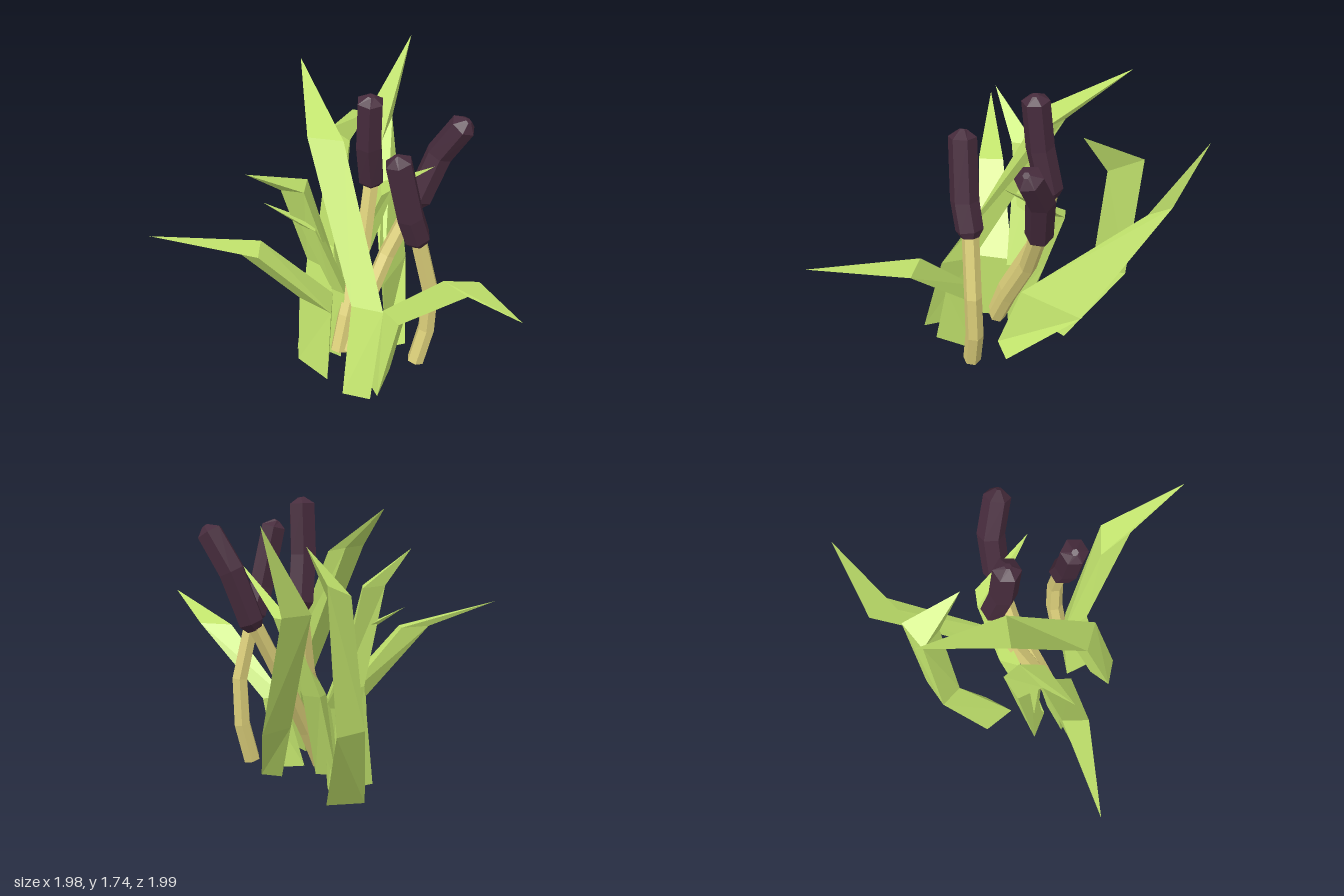
import * as THREE from 'three';

const material = (name, color) => {
  const m = new THREE.MeshStandardMaterial({ color, flatShading: true });
  m.name = name;
  return m;
};
const V = (p) => new THREE.Vector3(...p);

// Skin a list of equal-sized rings, closing both ends; faces always point outward.
function loft(rings) {
  const n = rings[0].length, tris = [];
  for (let i = 0; i < rings.length - 1; i++) {
    for (let j = 0; j < n; j++) {
      const k = (j + 1) % n, a = rings[i], b = rings[i + 1];
      tris.push([a[j], a[k], b[k]], [a[j], b[k], b[j]]);
    }
  }
  const first = rings[0], last = rings[rings.length - 1];
  for (let j = 1; j < n - 1; j++) {
    tris.push([first[0], first[j + 1], first[j]], [last[0], last[j], last[j + 1]]);
  }
  const solid = tris.filter(([a, b, c]) =>
    b.clone().sub(a).cross(c.clone().sub(a)).length() > 1e-7);
  const volume = solid.reduce((s, [a, b, c]) => s + a.dot(b.clone().cross(c)), 0);
  if (volume < 0) solid.forEach((t) => t.reverse());
  const geometry = new THREE.BufferGeometry().setFromPoints(solid.flat());
  geometry.computeVertexNormals();
  return geometry;
}

// Six-sided tube through the points, one radius per point.
function rod(points, radii) {
  const path = points.map(V);
  return loft(path.map((p, i) => {
    const t = path[Math.min(i + 1, path.length - 1)].clone()
      .sub(path[Math.max(i - 1, 0)]).normalize();
    const u = new THREE.Vector3(0, 0, 1).addScaledVector(t, -t.z).normalize();
    const w = t.clone().cross(u);
    return Array.from({ length: 6 }, (_, j) => {
      const a = (j / 6) * Math.PI * 2;
      return p.clone().addScaledVector(u, Math.cos(a) * radii[i])
        .addScaledVector(w, Math.sin(a) * radii[i]);
    });
  }));
}

// Three-sided blade: base, knee and bend cross-sections, then a sharp tip.
function blade(base, knee, bend, tip) {
  return loft([base, knee, bend, [tip, tip, tip]].map((ring) => ring.map(V)));
}

export function createModel() {
  const group = new THREE.Group();
  const leafGreen = material('leaf green', 0xc3e56d);
  const stemStraw = material('stem straw', 0xdccf7a);
  const headBrown = material('seed head brown', 0x472c3d);
  const add = (name, geometry, mat) => {
    const mesh = new THREE.Mesh(geometry, mat);
    mesh.name = name;
    group.add(mesh);
  };

  // Reeds: a bent stem with a thicker seed head on top
  const reeds = [
    ['tall',
      [[0.04, 0.14, 0.17], [0.08, 0.36, 0.1], [0.17, 0.75, -0.08], [0.21, 1.15, -0.17]],
      [[0.208, 1.12, -0.17], [0.207, 1.16, -0.165], [0.19, 1.42, -0.11], [0.195, 1.705, -0.085], [0.2, 1.74, -0.08]]],
    ['front',
      [[0.5, 0.14, 0.24], [0.555, 0.37, 0.21], [0.565, 0.65, 0.21], [0.48, 1.03, 0.23]],
      [[0.49, 1.0, 0.23], [0.475, 1.04, 0.235], [0.43, 1.2, 0.265], [0.355, 1.55, 0.28], [0.335, 1.585, 0.28]]],
    ['back',
      [[0.09, 0.14, 0.16], [0.17, 0.36, 0.08], [0.31, 0.7, -0.06], [0.46, 1.02, -0.14]],
      [[0.465, 1.01, -0.14], [0.485, 1.05, -0.145], [0.59, 1.34, -0.165], [0.71, 1.55, -0.12], [0.735, 1.585, -0.11]]],
  ];
  for (const [name, stem, head] of reeds) {
    add(`${name}ReedStem`, rod(stem, [0.052, 0.052, 0.05, 0.048]), stemStraw);
    add(`${name}ReedHead`, rod(head, [0.05, 0.078, 0.08, 0.078, 0.02]), headBrown);
  }

  // Leaves
  const leaf = (name, ...sections) => add(name, blade(...sections), leafGreen);

  leaf('tallFrontLeaf',
    [[0.08, 0.13, 0.54], [0.24, 0.13, 0.58], [0.17, 0.13, 0.43]],
    [[0.12, 0.65, 0.38], [0.3, 0.66, 0.44], [0.21, 0.65, 0.27]],
    [[-0.15, 1.47, -0.08], [0.05, 1.44, -0.1], [-0.04, 1.47, -0.22]],
    [-0.22, 1.71, -0.57]);

  leaf('frontLeftLeaf',
    [[0.18, 0.08, 0.28], [0.35, 0.08, 0.26], [0.28, 0.08, 0.5]],
    [[0.3, 0.52, 0.25], [0.43, 0.51, 0.27], [0.39, 0.54, 0.4]],
    [[0.62, 0.93, 0.48], [0.81, 0.94, 0.49], [0.74, 0.97, 0.66]],
    [0.99, 1.08, 0.99]);

  leaf('rightLeaf',
    [[-0.02, 0.05, 0.34], [-0.02, 0.05, 0.14], [-0.2, 0.1, 0.22]],
    [[0, 0.51, 0.28], [0, 0.5, 0.08], [-0.19, 0.54, 0.18]],
    [[-0.4, 0.94, 0.34], [-0.4, 0.95, 0.19], [-0.57, 0.95, 0.25]],
    [-0.99, 1.08, 0.36]);

  leaf('upperRightLeaf',
    [[-0.06, 0.02, 0.12], [-0.06, 0.02, -0.02], [-0.22, 0.03, 0.05]],
    [[0, 0.62, 0.03], [-0.01, 0.62, -0.13], [-0.16, 0.65, -0.05]],
    [[-0.16, 1.22, 0.1], [-0.15, 1.22, -0.04], [-0.29, 1.22, 0.08]],
    [-0.46, 1.42, 0.24]);

  leaf('smallRightLeaf',
    [[0.05, 0.02, 0.1], [0.05, 0.02, -0.02], [-0.08, 0.03, 0.04]],
    [[0.07, 0.51, 0.1], [0.07, 0.51, -0.02], [-0.01, 0.5, 0.04]],
    [[-0.1, 0.95, 0.09], [-0.1, 0.95, 0], [-0.19, 0.96, 0.04]],
    [-0.4, 1.1, 0.03]);

  leaf('innerLeaf',
    [[-0.08, 0.1, 0.12], [0.12, 0.1, 0.04], [0, 0.1, 0]],
    [[0.06, 0.6, -0.02], [0.2, 0.62, -0.14], [0.1, 0.61, -0.15]],
    [[0.27, 1.03, -0.18], [0.36, 1.09, -0.27], [0.26, 1.07, -0.26]],
    [0.56, 1.38, 0.04]);

  leaf('longBackLeaf',
    [[0.31, 0.12, 0.12], [0.44, 0.1, 0.05], [0.32, 0.1, 0]],
    [[0.3, 0.5, -0.02], [0.43, 0.45, -0.38], [0.27, 0.47, -0.28]],
    [[0.26, 1.08, -0.71], [0.32, 1.18, -0.84], [0.17, 1.2, -0.86]],
    [0.42, 1.66, -1]);

  leaf('curledBackLeaf',
    [[-0.15, 0.01, -0.25], [0.07, 0, -0.25], [-0.03, 0.01, -0.09]],
    [[-0.13, 0.5, -0.5], [0.03, 0.49, -0.6], [-0.02, 0.48, -0.4]],
    [[-0.05, 1.25, -0.56], [0.08, 1.32, -0.67], [0.07, 1.22, -0.47]],
    [0.18, 1.49, -0.34]);

  return group;
}
